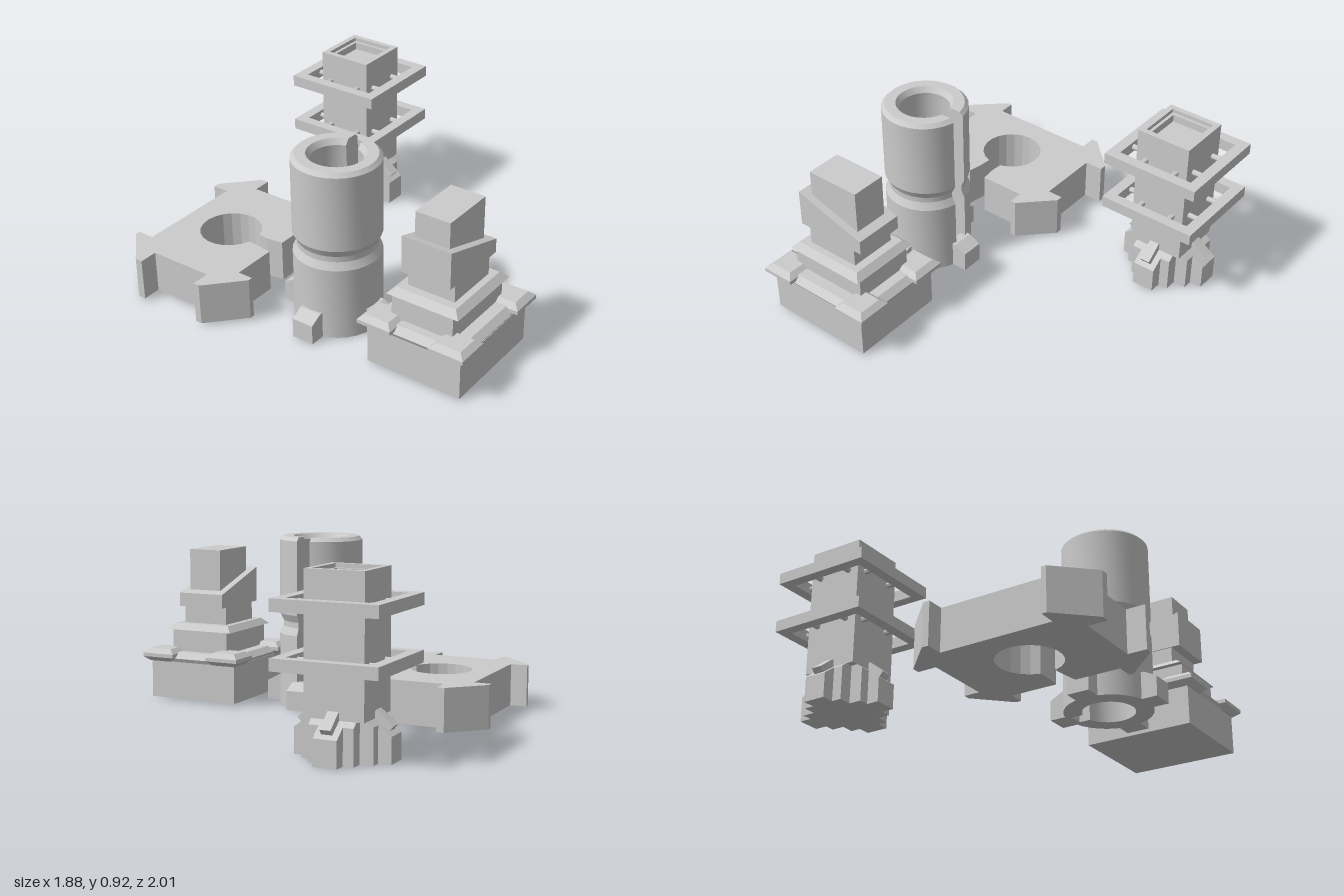
import * as THREE from 'three';
import { toCreasedNormals } from 'three/addons/utils/BufferGeometryUtils.js';

const grey = new THREE.MeshStandardMaterial({ color: 0xcccccc, flatShading: true });
const smoothGrey = new THREE.MeshStandardMaterial({ color: 0xcccccc, side: THREE.DoubleSide });

function add(parent, name, geometry, material = grey) {
  const mesh = new THREE.Mesh(geometry, material);
  mesh.name = name;
  parent.add(mesh);
  return mesh;
}

function group(parent, name, x = 0, z = 0) {
  const g = new THREE.Group();
  g.name = name;
  g.position.set(x, 0, z);
  parent.add(g);
  return g;
}

const shapeOf = (pts) => new THREE.Shape(pts.map(([x, y]) => new THREE.Vector2(x, y)));

// Box given by its limits
function block(x0, x1, y0, y1, z0, z1) {
  return new THREE.BoxGeometry(x1 - x0, y1 - y0, z1 - z0)
    .translate((x0 + x1) / 2, (y0 + y1) / 2, (z0 + z1) / 2);
}

// Side outline in x and y, given a width in z about the middle
function prism(pts, width) {
  return new THREE.ExtrudeGeometry(shapeOf(pts), { depth: width, bevelEnabled: false })
    .translate(0, 0, -width / 2);
}

// Stacked rectangles: each level is [y, half width, half depth]
function tiers(levels) {
  const pos = [], idx = [];
  for (const [y, w, d] of levels) pos.push(-w, y, d, w, y, d, w, y, -d, -w, y, -d);
  for (let l = 0; l < levels.length - 1; l++) {
    for (let k = 0; k < 4; k++) {
      const a = l * 4 + k, b = l * 4 + (k + 1) % 4;
      idx.push(a, b, b + 4, a, b + 4, a + 4);
    }
  }
  const t = (levels.length - 1) * 4;
  idx.push(0, 2, 1, 0, 3, 2, t, t + 1, t + 2, t, t + 2, t + 3);
  const g = new THREE.BufferGeometry();
  g.setAttribute('position', new THREE.Float32BufferAttribute(pos, 3));
  g.setIndex(idx);
  const flat = g.toNonIndexed();
  flat.computeVertexNormals();
  return flat;
}

// Stepped tower with corner caps and a sloping collar
function buildSteppedTower(root) {
  const g = group(root, 'steppedTower', -0.41, 0.71);
  add(g, 'base', block(-0.295, 0.295, 0.01, 0.22, -0.26, 0.26));
  add(g, 'baseLip', tiers([[0.215, 0.295, 0.255], [0.235, 0.305, 0.265], [0.265, 0.27, 0.23]]));
  for (const sx of [-1, 1]) for (const sz of [-1, 1]) {
    const cap = add(g, 'cornerCap', tiers([
      [0.215, 0.06, 0.065], [0.24, 0.09, 0.095], [0.26, 0.09, 0.095], [0.285, 0.06, 0.065]]));
    cap.position.set(sx * 0.245, 0, sz * 0.2);
  }
  add(g, 'lowerTier', block(-0.225, 0.215, 0.25, 0.385, -0.17, 0.17));
  add(g, 'flaredEave', tiers([[0.385, 0.23, 0.2], [0.418, 0.195, 0.165]]));
  add(g, 'neck', block(-0.15, 0.15, 0.41, 0.52, -0.13, 0.13));
  add(g, 'slopingCollar', prism([[-0.2, 0.515], [0.2, 0.515], [0.2, 0.59], [-0.2, 0.71]], 0.27));
  add(g, 'topBlock', block(-0.15, 0.15, 0.52, 0.83, -0.095, 0.095));
}

// Split tube with a waist and four feet
function buildSplitTube(root) {
  const g = group(root, 'splitTube', -0.445, 0.085);
  const half = 0.037, gap = 0.2, segments = 28;
  const profile = [
    [0.135, 0], [0.225, 0], [0.225, 0.39], [0.205, 0.43], [0.205, 0.46], [0.225, 0.5],
    [0.225, 0.9], [0.205, 0.92], [0.15, 0.92], [0.13, 0.89], [0.135, 0.85], [0.135, 0]];
  const lathe = new THREE.LatheGeometry(profile.map(([r, y]) => new THREE.Vector2(r, y)),
    segments, Math.PI / 2 + gap, 2 * Math.PI - 2 * gap);
  // Straighten both ends so the slot has parallel walls
  const slotX = (r) => Math.sqrt(r * r - half * half);
  const p = lathe.attributes.position, n = profile.length;
  profile.forEach(([r, y], j) => {
    p.setXYZ(j, slotX(r), y, -half);
    p.setXYZ(segments * n + j, slotX(r), y, half);
  });
  add(g, 'tubeWall', toCreasedNormals(lathe, 0.4), smoothGrey);
  const wall = shapeOf(profile.slice(0, -1).map(([r, y]) => [slotX(r), y]));
  for (const s of [-1, 1]) {
    add(g, 'slotWall', new THREE.ShapeGeometry(wall).translate(0, 0, s * half), smoothGrey);
  }
  for (let i = 0; i < 4; i++) {
    const foot = add(g, 'foot', prism(
      [[0.19, 0], [0.3, 0], [0.3, 0.105], [0.235, 0.14], [0.19, 0.14]], 0.12));
    foot.rotation.y = i * Math.PI / 2;
  }
}

// Flat plate with four barbed corners and a keyhole opening
function buildKeyholePlate(root) {
  const g = group(root, 'keyholePlate');
  const outline = [
    [-0.735, -0.32], [-0.735, -0.235], [-0.76, -0.235], [-0.94, -0.405], [-0.94, -0.44],
    [-0.84, -0.44], [-0.84, -0.79], [-0.94, -0.79], [-0.94, -0.83], [-0.76, -1], [-0.735, -1],
    [-0.735, -0.91], [-0.14, -0.91], [-0.14, -1], [-0.105, -1], [0.07, -0.83], [0.07, -0.79],
    [-0.03, -0.79], [-0.03, -0.44], [0.055, -0.44], [0.055, -0.405], [-0.11, -0.24],
    [-0.14, -0.24], [-0.14, -0.32], [-0.39, -0.32], [-0.4, -0.41]];
  // Round part of the keyhole, then back out through its mouth
  const steps = 20, open = 0.25;
  for (let i = 0; i <= steps; i++) {
    const a = open + (2 * Math.PI - 2 * open) * i / steps;
    outline.push([-0.435 + 0.163 * Math.sin(a), -0.625 + 0.163 * Math.cos(a)]);
  }
  outline.push([-0.48, -0.41], [-0.495, -0.32]);
  const plate = new THREE.ExtrudeGeometry(shapeOf(outline.map(([x, z]) => [x, -z])),
    { depth: 0.225, bevelEnabled: false });
  plate.rotateX(-Math.PI / 2).translate(0, 0.015, 0);
  add(g, 'plate', plate);
}

// Square frame lying flat, or a hollow square column when tall
function squareFrame(outer, inner, y0, y1) {
  const square = (h) => [[-h, -h], [h, -h], [h, h], [-h, h]];
  const shape = shapeOf(square(outer));
  shape.holes.push(shapeOf(square(inner)));
  return new THREE.ExtrudeGeometry(shape, { depth: y1 - y0, bevelEnabled: false })
    .rotateX(-Math.PI / 2).translate(0, y0, 0);
}

// Square column on a cross base, with two open galleries
function buildGalleryTower(root) {
  const g = group(root, 'galleryTower', 0.67, -0.583);
  add(g, 'column', block(-0.15, 0.15, 0.2, 0.82, -0.15, 0.15));
  add(g, 'columnRim', squareFrame(0.15, 0.12, 0.82, 0.88));
  add(g, 'columnInnerStep', squareFrame(0.12, 0.103, 0.82, 0.86));
  for (const y of [0.42, 0.69]) add(g, 'galleryFrame', squareFrame(0.267, 0.21, y, y + 0.06));
  for (let i = 0; i < 4; i++) {
    const side = group(g, 'side');
    side.rotation.y = i * Math.PI / 2;
    add(side, 'innerButtress', prism(
      [[0, 0], [0.18, 0], [0.18, 0.177], [0.15, 0.2], [0, 0.2]], 0.225));
    add(side, 'outerButtress', prism(
      [[0.1, 0], [0.245, 0], [0.245, 0.13], [0.15, 0.2], [0.1, 0.2]], 0.12));
    // Tilted clip lying on the buttress slope
    const clip = add(side, 'clip', new THREE.BoxGeometry(0.11, 0.035, 0.055));
    clip.position.set(0.188, 0.193, 0);
    clip.rotation.z = -0.68;
    // Pegs holding the galleries
    for (const y of [0.45, 0.72]) for (const z of [-0.09, 0.09]) {
      const peg = add(side, 'galleryPeg', new THREE.CylinderGeometry(0.015, 0.015, 0.08, 8));
      peg.rotation.z = Math.PI / 2;
      peg.position.set(0.18, y, z);
    }
  }
}

export function createModel() {
  const root = new THREE.Group();
  root.name = 'buildingParts';
  buildSteppedTower(root);
  buildSplitTube(root);
  buildKeyholePlate(root);
  buildGalleryTower(root);
  return root;
}
